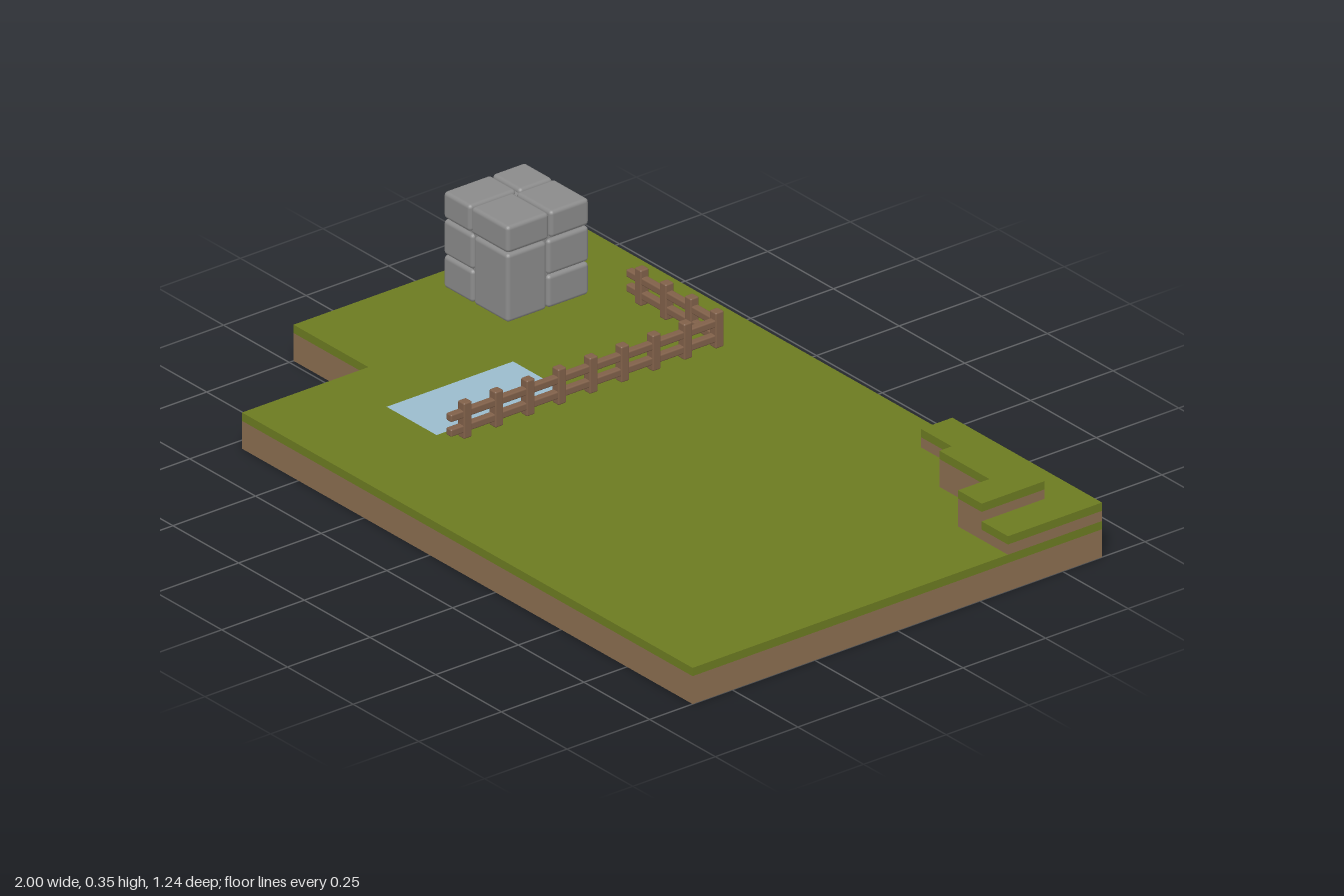
import * as THREE from 'three';
import { RoundedBoxGeometry } from 'three/addons/geometries/RoundedBoxGeometry.js';

const mat = (name, color) => {
  const m = new THREE.MeshStandardMaterial({ color });
  m.name = name;
  return m;
};

export function createModel() {
  const grass = mat('grass green', 0x6c7b21);
  const dirt = mat('dirt brown', 0x8b6e50);
  const water = mat('water blue', 0x9bbccd);
  const stone = mat('stone grey', 0x8b8b8b);
  const wood = mat('wood brown', 0x806049);

  const model = new THREE.Group();
  model.name = 'terrain';

  const add = (parent, name, geometry, material) => {
    const mesh = new THREE.Mesh(geometry, material);
    mesh.name = name;
    parent.add(mesh);
    return mesh;
  };

  // Extrudes an outline of [x, z] corners from y0 up to y1
  const toPoints = (pts) => pts.map(([x, z]) => new THREE.Vector2(x, -z));
  const slab = (pts, y0, y1, hole) => {
    const shape = new THREE.Shape(toPoints(pts));
    if (hole) shape.holes.push(new THREE.Path(toPoints(hole)));
    return new THREE.ExtrudeGeometry(shape, { depth: y1 - y0, bevelEnabled: false })
      .rotateX(-Math.PI / 2).translate(0, y0, 0);
  };

  // Dirt slab with a thin grass cap
  const CAP = 0.022;
  const terrace = (name, pts, y0, y1, hole) => {
    const group = new THREE.Group();
    group.name = name;
    add(group, name + 'Dirt', slab(pts, y0, y1 - CAP, hole), dirt);
    add(group, name + 'Grass', slab(pts, y1 - CAP, y1, hole), grass);
    model.add(group);
  };

  const GROUND = 0.096;
  const pond = [[-0.525, -0.05], [-0.335, -0.05], [-0.335, 0.333], [-0.525, 0.333]];
  terrace('ground', [[-1, -0.62], [1, -0.62], [1, 0.62], [-0.715, 0.62], [-0.715, 0.237], [-1, 0.237]],
    0, GROUND, pond);
  add(model, 'pond', slab(pond, 0, GROUND), water);

  // Raised corner in two steps
  terrace('lowerStep', [[0.43, -0.62], [1, -0.62], [1, -0.335], [0.9, -0.335], [0.9, -0.525], [0.43, -0.525]],
    GROUND, 0.145);
  terrace('upperStep', [[0.62, -0.525], [0.9, -0.525], [0.9, -0.335], [0.81, -0.335], [0.81, -0.43], [0.62, -0.43]],
    GROUND, 0.192);

  // Box from its limits, with softened edges
  const block = (parent, name, [x0, x1], [y0, y1], [z0, z1], radius, material) =>
    add(parent, name, new RoundedBoxGeometry(x1 - x0, y1 - y0, z1 - z0, 2, radius), material)
      .position.set((x0 + x1) / 2, (y0 + y1) / 2, (z0 + z1) / 2);

  // Stone stack: uneven blocks around a core that closes the joints
  const stack = new THREE.Group();
  stack.name = 'stoneStack';
  model.add(stack);
  const stones = [
    // front right of stack
    [[-0.819, -0.688], [0.096, 0.277], [-0.283, -0.163]],
    // front left of stack
    [[-0.934, -0.822], [0.096, 0.182], [-0.29, -0.163]],
    [[-0.934, -0.822], [0.184, 0.277], [-0.29, -0.163]],
    // back right of stack
    [[-0.819, -0.688], [0.096, 0.182], [-0.411, -0.286]],
    [[-0.819, -0.688], [0.184, 0.277], [-0.411, -0.286]],
    // back left of stack
    [[-0.934, -0.822], [0.096, 0.182], [-0.411, -0.293]],
    [[-0.934, -0.822], [0.184, 0.277], [-0.411, -0.293]],
    // top layer
    [[-0.934, -0.832], [0.28, 0.351], [-0.306, -0.163]],
    [[-0.829, -0.688], [0.28, 0.351], [-0.29, -0.163]],
    [[-0.934, -0.826], [0.28, 0.351], [-0.411, -0.31]],
    [[-0.823, -0.688], [0.28, 0.351], [-0.411, -0.294]],
  ];
  stones.forEach(([x, y, z], i) => block(stack, 'stone' + (i + 1), x, y, z, 0.01, stone));
  block(stack, 'stoneCore', [-0.925, -0.698], [0.1, 0.34], [-0.402, -0.172], 0.01, stone);

  // Corner fence: two runs of posts joined by pairs of rails
  const fence = new THREE.Group();
  fence.name = 'fence';
  model.add(fence);
  const FX = -0.288, FZ = -0.478, GAP = 0.0953;
  const post = (x, z) => block(fence, 'fencePost',
    [x - 0.0125, x + 0.0125], [GROUND, 0.191], [z - 0.0125, z + 0.0125], 0.004, wood);
  for (let i = 0; i < 9; i++) post(FX, FZ + i * GAP);
  for (let i = 1; i < 4; i++) post(FX - i * GAP, FZ);
  for (const y of [0.122, 0.161]) {
    const h = [y - 0.01, y + 0.01];
    block(fence, 'sideRail', [FX - 0.01, FX + 0.01], h, [FZ - 0.01, 0.334], 0.004, wood);
    block(fence, 'backRail', [-0.622, FX + 0.01], h, [FZ - 0.01, FZ + 0.01], 0.004, wood);
  }

  return model;
}
